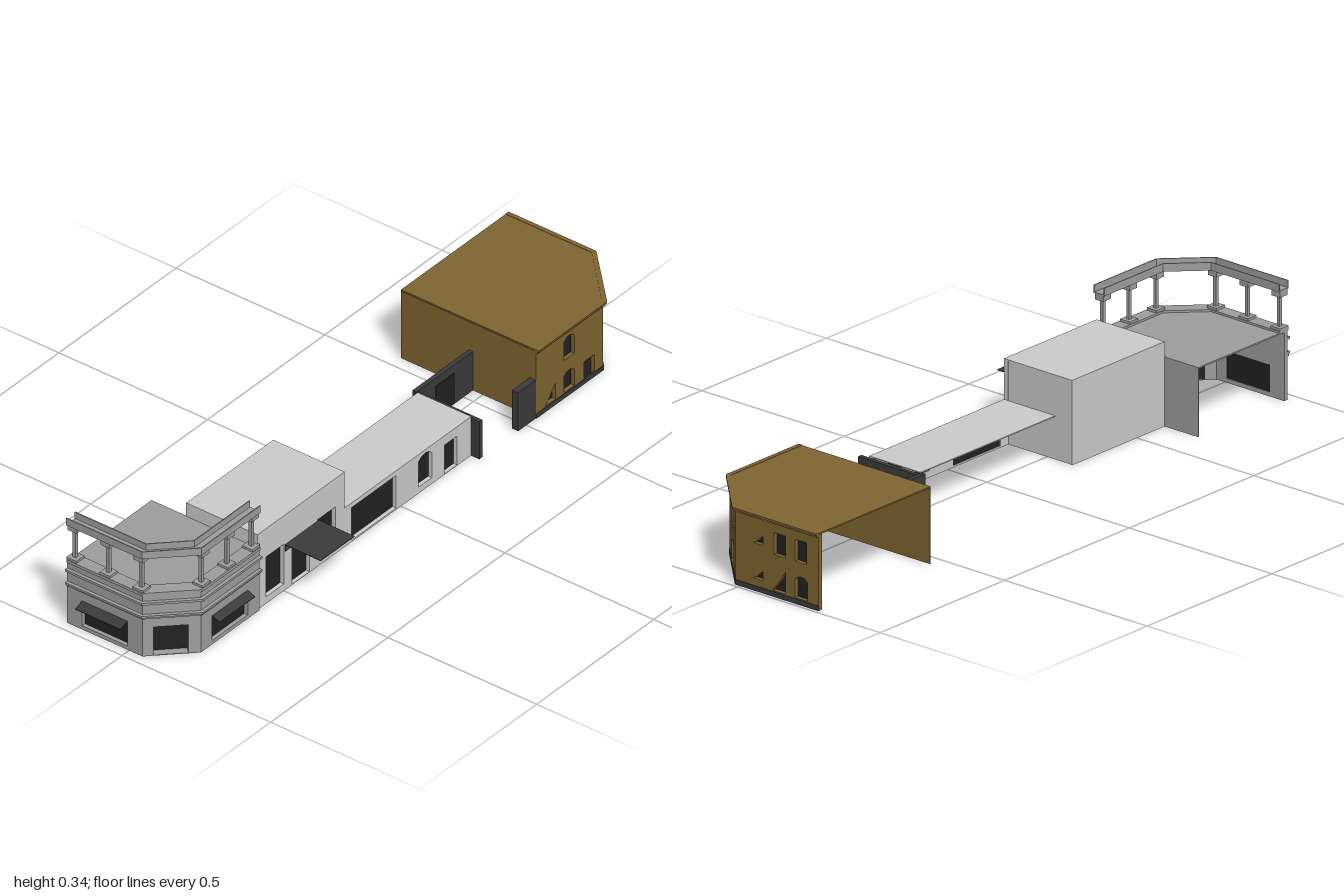
import * as THREE from 'three';

const paint = (color) => new THREE.MeshStandardMaterial({ color, side: THREE.DoubleSide, flatShading: true });
const LIGHT = paint(0xcccccc), STONE = paint(0x9e9e9e), BROWN = paint(0x7f6532);
const DARK = paint(0x3b3b3b), GLASS = paint(0x222222);

function add(parent, name, geometry, material, x = 0, y = 0, z = 0) {
  const mesh = new THREE.Mesh(geometry, material);
  mesh.name = name;
  mesh.position.set(x, y, z);
  parent.add(mesh);
  return mesh;
}

// Box given by its limits on each axis
function block(parent, name, material, [x0, x1], [y0, y1], [z0, z1]) {
  return add(parent, name, new THREE.BoxGeometry(x1 - x0, y1 - y0, z1 - z0), material,
    (x0 + x1) / 2, (y0 + y1) / 2, (z0 + z1) / 2);
}

// Horizontal slab over a plan of [x, z] corners
function slab(parent, name, plan, y0, y1, material) {
  const shape = new THREE.Shape(plan.map(([x, z]) => new THREE.Vector2(x, -z)));
  const geo = new THREE.ExtrudeGeometry(shape, { depth: y1 - y0, bevelEnabled: false });
  geo.rotateX(-Math.PI / 2);
  return add(parent, name, geo, material, 0, y0, 0);
}

// Moves an open plan path outward with mitred corners
function offset(path, d) {
  const normal = (a, b) => {
    const l = Math.hypot(b[0] - a[0], b[1] - a[1]);
    return [-(b[1] - a[1]) / l, (b[0] - a[0]) / l];
  };
  return path.map((p, i) => {
    const n1 = normal(path[Math.max(i - 1, 0)], path[Math.max(i, 1)]);
    const last = path.length - 1;
    const n2 = normal(path[Math.min(i, last - 1)], path[Math.min(i + 1, last)]);
    const k = d / (1 + n1[0] * n2[0] + n1[1] * n2[1]);
    return [p[0] + (n1[0] + n2[0]) * k, p[1] + (n1[1] + n2[1]) * k];
  });
}

// Moulding that follows a plan path between two offsets
function band(parent, name, path, d0, d1, y0, y1, material) {
  return slab(parent, name, [...offset(path, d1), ...offset(path, d0).reverse()], y0, y1, material);
}

// Outline of an opening: plain, arched or a stepped slope
function outline([u0, u1, y0, y1, kind]) {
  const w = u1 - u0;
  let pts = [[u0, y0], [u1, y0], [u1, y1], [u0, y1]];
  if (kind === 'arch') {
    const s = y1 - w * 0.25;
    pts = [[u0, y0], [u1, y0], [u1, s], [u1 - w * 0.25, y1 - w * 0.06], [u0 + w / 2, y1], [u0 + w * 0.25, y1 - w * 0.06], [u0, s]];
  }
  if (kind === 'slope') {
    const m = (y0 + y1) / 2;
    pts = [[u0, y0], [u1, y0], [u1, y1], [u0 + w * 0.55, m], [u0 + w * 0.45, m - 0.006]];
  }
  return pts.map(([x, y]) => new THREE.Vector2(x, y));
}

// Wall from a to b (outside on the right hand of the viewer's path) with recessed dark openings
function wall(parent, name, a, b, height, material, openings = [], t = 0.014) {
  const g = new THREE.Group();
  g.name = name;
  const dx = b[0] - a[0], dz = b[1] - a[1], len = Math.hypot(dx, dz);
  const shape = new THREE.Shape([[0, 0], [len, 0], [len, height], [0, height]].map((p) => new THREE.Vector2(...p)));
  for (const o of openings) {
    const pts = outline(o);
    shape.holes.push(new THREE.Path(pts));
    add(g, 'openingPane', new THREE.ShapeGeometry(new THREE.Shape(pts)), GLASS, 0, 0, -t + 0.002);
  }
  add(g, 'wallFace', new THREE.ExtrudeGeometry(shape, { depth: t, bevelEnabled: false }), material, 0, 0, -t);
  g.position.set(a[0], 0, a[1]);
  g.rotation.y = Math.atan2(-dz, dx);
  parent.add(g);
  return g;
}

// Sloping awning in the frame of a wall
function awning(wallGroup, u0, u1, y0, y1, reach) {
  const profile = new THREE.Shape([[0, y1], [reach, y0 + 0.002], [reach, y0], [0, y1 - 0.003]].map((p) => new THREE.Vector2(...p)));
  const geo = new THREE.ExtrudeGeometry(profile, { depth: u1 - u0, bevelEnabled: false });
  geo.rotateY(-Math.PI / 2);
  add(wallGroup, 'awning', geo, DARK, u1, 0, 0);
}

function cornerShop() {
  const g = new THREE.Group();
  g.name = 'cornerShop';
  const path = [[-0.208, 0.97], [0.045, 0.97], [0.155, 0.86], [0.155, 0.61]];
  const front = wall(g, 'shopFront', path[0], path[1], 0.2, STONE, [[0.05, 0.203, 0.012, 0.09]]);
  awning(front, 0.05, 0.203, 0.08, 0.092, 0.03);
  wall(g, 'shopCorner', path[1], path[2], 0.2, STONE, [[0.03, 0.122, 0.002, 0.092]], 0.025);
  const side = wall(g, 'shopSide', path[2], path[3], 0.2, STONE, [[0.048, 0.2, 0.012, 0.09]]);
  awning(side, 0.048, 0.2, 0.08, 0.092, 0.025);
  wall(g, 'shopBack', [0.155, 0.611], [-0.208, 0.611], 0.197, STONE, [], 0.002);
  slab(g, 'shopRoof', [...path, [-0.208, 0.61]], 0.194, 0.198, STONE);
  // Mouldings and roof rim
  band(g, 'lowerLedge', path, -0.005, 0.006, 0.123, 0.129, STONE);
  band(g, 'lowerLedgeTop', path, -0.005, 0.01, 0.129, 0.135, STONE);
  band(g, 'upperLedge', path, -0.005, 0.01, 0.17, 0.177, STONE);
  band(g, 'roofRim', path, -0.035, 0.003, 0.195, 0.204, STONE);
  // Pergola: trough beam on capped posts
  band(g, 'beamSoffit', path, -0.035, 0.004, 0.315, 0.318, STONE);
  band(g, 'beamOuterFace', path, 0.001, 0.004, 0.318, 0.338, STONE);
  band(g, 'beamInnerFace', path, -0.035, -0.032, 0.318, 0.338, STONE);
  const posts = [[-0.193, 0.954], [-0.081, 0.954], [0.03, 0.954], [0.139, 0.838], [0.139, 0.73], [0.139, 0.625]];
  for (const [x, z] of posts) {
    add(g, 'postBase', new THREE.BoxGeometry(0.034, 0.01, 0.034), STONE, x, 0.206, z);
    add(g, 'post', new THREE.BoxGeometry(0.01, 0.1, 0.01), STONE, x, 0.25, z);
    add(g, 'postCap', new THREE.BoxGeometry(0.03, 0.018, 0.03), STONE, x, 0.307, z);
  }
  return g;
}

function middleHouse() {
  const g = new THREE.Group();
  g.name = 'middleHouse';
  wall(g, 'facade', [0.15, 0.61], [0.15, 0.24], 0.24, LIGHT,
    [[0.035, 0.11, 0.022, 0.15], [0.145, 0.22, 0.002, 0.115], [0.255, 0.33, 0.022, 0.15]]);
  wall(g, 'backWall', [0.15, 0.242], [-0.09, 0.242], 0.24, LIGHT, [], 0.002);
  wall(g, 'leftWall', [-0.09, 0.24], [-0.09, 0.61], 0.24, LIGHT, [], 0.002);
  wall(g, 'frontWall', [-0.09, 0.612], [0.15, 0.612], 0.24, LIGHT, [], 0.002);
  block(g, 'houseRoof', LIGHT, [-0.09, 0.15], [0.238, 0.241], [0.24, 0.612]);
  // Flat door canopy with its sign board
  block(g, 'canopy', DARK, [0.15, 0.27], [0.144, 0.146], [0.35, 0.495]);
  block(g, 'canopyBoard', DARK, [0.148, 0.152], [0.124, 0.145], [0.35, 0.495]);
  return g;
}

function lowRow() {
  const g = new THREE.Group();
  g.name = 'lowRow';
  wall(g, 'rowFacade', [0.15, 0.24], [0.15, -0.3], 0.125, LIGHT,
    [[0.03, 0.22, 0.005, 0.11], [0.315, 0.372, 0.02, 0.115, 'arch'], [0.425, 0.48, 0.002, 0.095]]);
  block(g, 'rowRoof', LIGHT, [-0.03, 0.15], [0.122, 0.125], [-0.3, 0.24]);
  return g;
}

function yard() {
  const g = new THREE.Group();
  g.name = 'yard';
  block(g, 'yardSideWall', DARK, [-0.045, 0.178], [0, 0.12], [-0.312, -0.299]);
  block(g, 'yardRearWall', DARK, [-0.047, -0.033], [0, 0.125], [-0.54, -0.3]);
  block(g, 'yardStubWall', DARK, [0.157, 0.178], [0, 0.123], [-0.54, -0.465]);
  block(g, 'yardGate', GLASS, [-0.034, -0.031], [0.004, 0.1], [-0.46, -0.38]);
  return g;
}

function brownHouse() {
  const g = new THREE.Group();
  g.name = 'brownHouse';
  const path = [[0.178, -0.54], [0.178, -0.828], [0.016, -0.989], [-0.275, -0.989]];
  const h = 0.215;
  wall(g, 'streetWall', path[0], path[1], h, BROWN, [
    [0.12, 0.165, 0.12, 0.19, 'arch'], [0.04, 0.085, 0.017, 0.07, 'slope'],
    [0.12, 0.165, 0.017, 0.08, 'arch'], [0.205, 0.25, 0.002, 0.07]]);
  wall(g, 'cornerWall', path[1], path[2], h, BROWN,
    [[0.08, 0.15, 0.12, 0.187, 'arch'], [0.08, 0.15, 0.015, 0.083, 'arch']]);
  wall(g, 'rearWall', path[2], path[3], h, BROWN, [
    [0.06, 0.095, 0.135, 0.16, 'slope'], [0.135, 0.175, 0.12, 0.182], [0.208, 0.248, 0.12, 0.182],
    [0.06, 0.095, 0.035, 0.06, 'slope'], [0.13, 0.175, 0.017, 0.08, 'slope'], [0.208, 0.252, 0.017, 0.08, 'arch']]);
  wall(g, 'partyWall', [-0.275, -0.54], [0.178, -0.54], h, BROWN, [], 0.002);
  // Roof, two-step cornice and dark plinth
  slab(g, 'brownRoof', [...offset(path, 0.008), [-0.275, -0.54]], 0.216, 0.22, BROWN);
  band(g, 'cornice', path, -0.003, 0.01, 0.215, 0.221, BROWN);
  band(g, 'corniceStep', path, -0.003, 0.006, 0.209, 0.215, BROWN);
  band(g, 'plinth', path, -0.003, 0.002, 0, 0.014, DARK);
  return g;
}

export function createModel() {
  const model = new THREE.Group();
  model.name = 'streetRow';
  model.add(cornerShop(), middleHouse(), lowRow(), yard(), brownHouse());
  return model;
}
